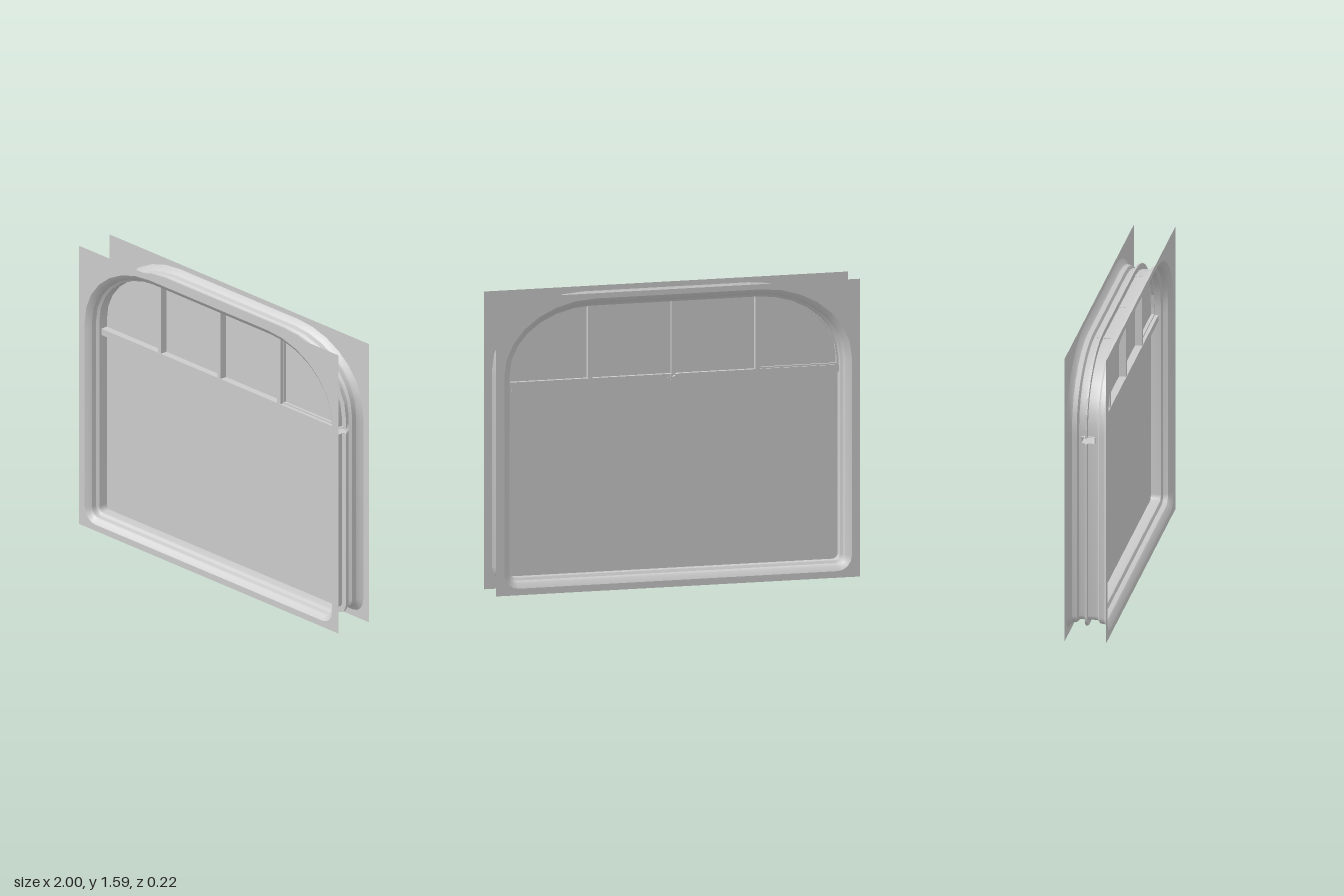
import * as THREE from 'three';
import { toCreasedNormals } from 'three/addons/utils/BufferGeometryUtils.js';

const RAIL_LOW = 1.09, RAIL_HIGH = 1.122, FACE_Z = 0.11;
const grey = new THREE.MeshStandardMaterial({ color: 0xcccccc, side: THREE.DoubleSide });

// Right half of the opening, inset by d, running from the sill up to the head
function halfOutline(d) {
  const pts = [];
  const arc = (cx, cy, rx, ry, from, to, n) => {
    for (let i = 0; i <= n; i++) {
      const a = from + (to - from) * i / n;
      pts.push(new THREE.Vector2(cx + rx * Math.cos(a), cy + ry * Math.sin(a)));
    }
  };
  arc(0.875, 0.115, 0.08 - d, 0.08 - d, -Math.PI / 2, 0, 4);
  pts.push(new THREE.Vector2(0.955 - d, RAIL_LOW), new THREE.Vector2(0.955 - d, RAIL_HIGH));
  arc(0.455, 1.17, 0.5 - d, 0.392 - d, 0, Math.PI / 2, 7);
  return pts;
}

function outline(d) {
  const half = halfOutline(d);
  return [...half, ...half.map(p => new THREE.Vector2(-p.x, p.y)).reverse()];
}

function add(group, name, geometry, x = 0, y = 0, z = 0) {
  const mesh = new THREE.Mesh(geometry, grey);
  mesh.name = name;
  mesh.position.set(x, y, z);
  group.add(mesh);
  return mesh;
}

function extrude(shape, depth) {
  return new THREE.ExtrudeGeometry(shape, { depth, bevelEnabled: false });
}

// Stepped, flared lining; the narrow middle band is notched for the rail ends
function liningGeometry() {
  const side = [[0, 0.11], [0.022, 0.095], [0.03, 0.085], [0.034, 0.06], [0.048, 0.05], [0.05, 0.035]];
  const profile = [...side, ...side.map(([d, z]) => [d, -z]).reverse()];
  const rings = profile.map(([d, z]) => outline(d).map(p => [p.x, p.y, z]));
  const pos = [];
  for (let r = 0; r < rings.length - 1; r++) {
    const a = rings[r], b = rings[r + 1], n = a.length;
    for (let i = 0; i < n; i++) {
      const j = (i + 1) % n;
      const midY = (a[i][1] + a[j][1]) / 2;
      const atRail = midY > RAIL_LOW && midY < RAIL_HIGH;
      if (r === side.length - 1 && atRail) continue;
      pos.push(...a[i], ...b[i], ...a[j], ...a[j], ...b[i], ...b[j]);
    }
  }
  const g = new THREE.BufferGeometry();
  g.setAttribute('position', new THREE.Float32BufferAttribute(pos, 3));
  g.computeVertexNormals();
  return toCreasedNormals(g, 0.45);
}

// Slim frame of the curved corner light
function cornerFrameGeometry() {
  const loop = (d, x, y) => [
    ...halfOutline(d).filter(p => p.y > y).map(p => new THREE.Vector2(Math.max(p.x, x), p.y)),
    new THREE.Vector2(x, y), new THREE.Vector2(0.955 - d, y)
  ];
  const shape = new THREE.Shape(loop(0.05, 0.47, 1.123));
  shape.holes.push(new THREE.Path(loop(0.06, 0.479, 1.132)));
  return extrude(shape, 0.014);
}

export function createModel() {
  const model = new THREE.Group();
  model.name = 'windowPanel';

  // Flat wall sheets on both faces
  const sheet = new THREE.Shape([[-1, 0], [1, 0], [1, 1.59], [-1, 1.59]].map(p => new THREE.Vector2(...p)));
  sheet.holes.push(new THREE.Path(outline(0)));
  add(model, 'frontSheet', new THREE.ShapeGeometry(sheet), 0, 0, FACE_Z);
  add(model, 'backSheet', new THREE.ShapeGeometry(sheet), 0, 0, -FACE_Z).rotation.y = Math.PI;

  add(model, 'windowLining', liningGeometry());

  // Panes, reaching slightly past the lining
  const edge = outline(0.018);
  const lower = new THREE.Shape(edge.filter(p => p.y <= RAIL_LOW));
  const upper = new THREE.Shape(edge.filter(p => p.y >= RAIL_HIGH));
  add(model, 'lowerPane', extrude(lower, 0.012), 0, 0, -0.015);
  add(model, 'upperPane', extrude(upper, 0.01), 0, 0, -0.013);

  // Hollow cross rail, open at both ends
  const rail = new THREE.Group();
  rail.name = 'crossRail';
  for (const s of [-1, 1]) {
    add(rail, 'railWall', new THREE.BoxGeometry(1.84, 0.036, 0.002), 0, 1.106, s * 0.036);
    add(rail, 'railFlange', new THREE.BoxGeometry(1.84, 0.002, 0.074), 0, 1.106 + s * 0.017, 0);
  }
  add(rail, 'railLip', new THREE.BoxGeometry(1.78, 0.015, 0.04), 0, 1.081, -0.008);
  model.add(rail);

  // Upright bars between the top lights
  for (const x of [-0.46, 0, 0.46]) {
    add(model, 'glazingBar', new THREE.BoxGeometry(0.025, 0.392, 0.07), x, 1.318, 0);
  }

  // Corner light frames, one towards each face
  add(model, 'frontCornerFrame', cornerFrameGeometry(), 0, 0, 0.004);
  add(model, 'backCornerFrame', cornerFrameGeometry(), 0, 0, -0.014).rotation.y = Math.PI;

  // Small turn catch on the back of the rail
  const latch = new THREE.Group();
  latch.name = 'latch';
  latch.position.set(0, 1.106, -0.037);
  add(latch, 'latchPlate', new THREE.BoxGeometry(0.04, 0.034, 0.006), 0, 0, -0.003);
  add(latch, 'latchBoss', new THREE.CylinderGeometry(0.012, 0.012, 0.022, 12), 0, 0, -0.014).rotation.x = Math.PI / 2;
  add(latch, 'latchLever', new THREE.BoxGeometry(0.055, 0.01, 0.007), 0.018, 0, -0.022);
  model.add(latch);

  return model;
}
